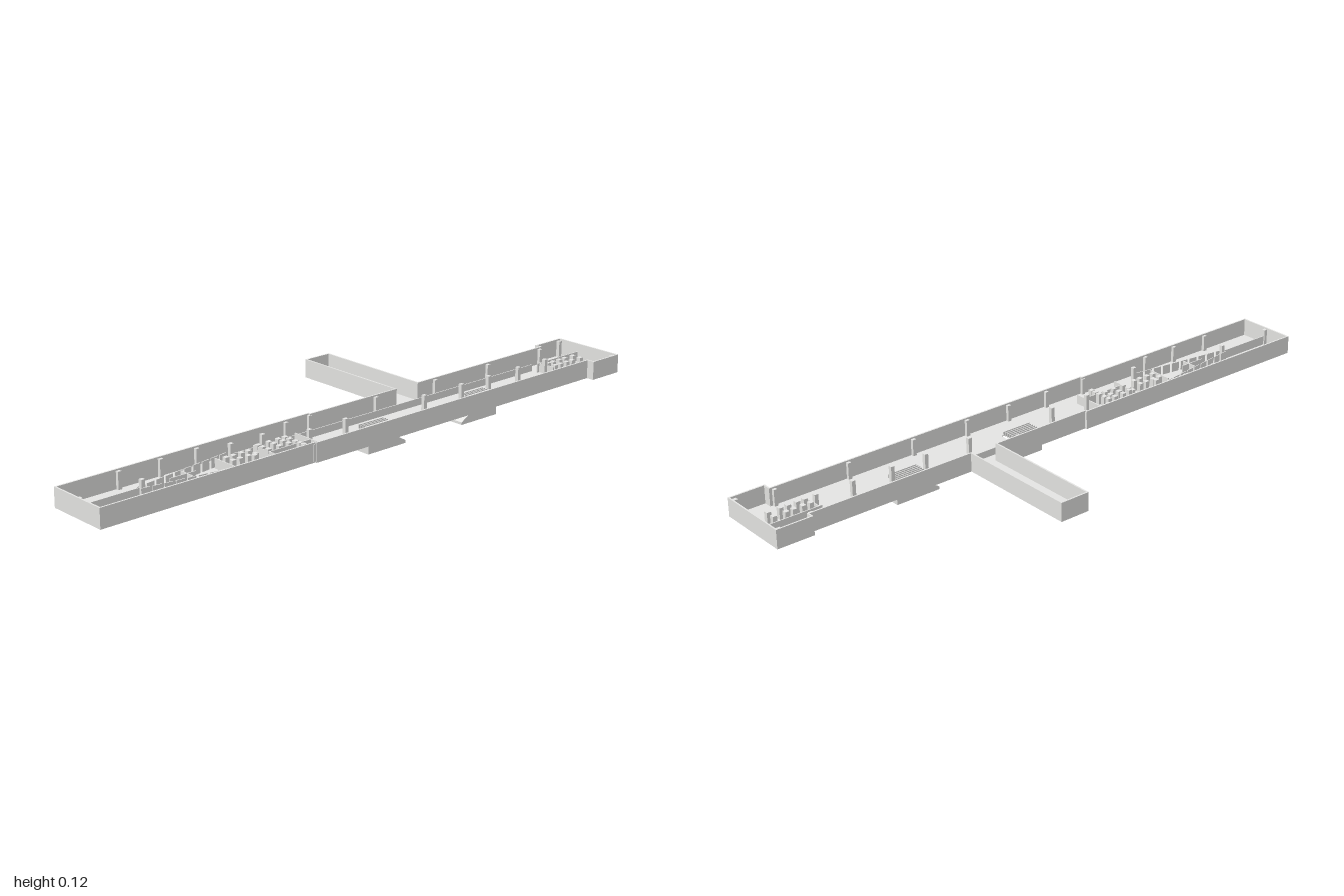
import * as THREE from 'three';

const BASE = 0.062, FLOOR = 0.065, TOP = 0.1215, WALL = 0.005;

// Hall outline as [x, z], including the corridor and the wider end block
const OUTLINE = [
  [-1, 0.082], [-0.115, 0.082], [-0.115, 0.089], [0.225, 0.089],
  [0.225, -0.314], [0.324, -0.314], [0.324, 0.089], [0.88, 0.089],
  [0.88, 0.069], [1, 0.069], [1, 0.314], [0.88, 0.314],
  [0.88, 0.289], [-0.27, 0.289], [-0.27, 0.284], [-1, 0.284],
];

// Moves a right-angled outline inwards by t
function inset(points, t) {
  const n = points.length;
  const normal = (a, b) => [-Math.sign(b[1] - a[1]), Math.sign(b[0] - a[0])];
  return points.map((p, i) => {
    const n1 = normal(points[(i + n - 1) % n], p);
    const n2 = normal(p, points[(i + 1) % n]);
    return [p[0] + t * (n1[0] + n2[0]), p[1] + t * (n1[1] + n2[1])];
  });
}

const toPlan = (points) => points.map(([x, z]) => new THREE.Vector2(x, -z));

// Extrudes a plan upwards from y0 to y1; outline and holes wind opposite ways
function extrudePlan(points, holes, y0, y1) {
  const shape = new THREE.Shape(toPlan(points).reverse());
  holes.forEach((h) => shape.holes.push(new THREE.Path(toPlan(h))));
  const geometry = new THREE.ExtrudeGeometry(shape, { depth: y1 - y0, bevelEnabled: false });
  return geometry.rotateX(-Math.PI / 2).translate(0, y0, 0);
}

const rect = (x0, x1, z0, z1) => [[x0, z0], [x1, z0], [x1, z1], [x0, z1]];

export function createModel() {
  const model = new THREE.Group();
  model.name = 'stationHall';
  const concrete = new THREE.MeshStandardMaterial({ color: 0xe4e4e2 });
  concrete.name = 'pale concrete';

  const add = (name, geometry, parent = model) => {
    const mesh = new THREE.Mesh(geometry, concrete);
    mesh.name = name;
    parent.add(mesh);
    return mesh;
  };
  const group = (name) => {
    const g = new THREE.Group();
    g.name = name;
    model.add(g);
    return g;
  };
  // Box standing on the floor
  const block = (name, x, z, w, d, h, parent) =>
    add(name, new THREE.BoxGeometry(w, h, d).translate(x, FLOOR + h / 2, z), parent);
  // Thin upright panel between two plan points
  const panel = (name, x0, z0, x1, z1, h, parent) => {
    const length = Math.hypot(x1 - x0, z1 - z0);
    const mesh = block(name, 0, 0, length, 0.003, h, parent);
    mesh.position.set((x0 + x1) / 2, 0, (z0 + z1) / 2);
    mesh.rotation.y = -Math.atan2(z1 - z0, x1 - x0);
  };

  // Floor with two stair openings, and the outer walls
  const openings = [rect(0.06, 0.115, 0.162, 0.21), rect(0.427, 0.482, 0.162, 0.21)];
  add('floor', extrudePlan(OUTLINE, openings, BASE, FLOOR));
  add('outerWalls', extrudePlan(OUTLINE, [inset(OUTLINE, WALL)], BASE, TOP));

  // Mirrored stair blocks below the floor
  const stairs = group('stairs');
  const profile = [[0, 0], [0.152, 0], [0.152, 0.008], [0.062, BASE], [0, BASE]];
  for (const side of [1, -1]) {
    const place = (x) => (side === 1 ? x : 0.542 - x);
    const points = profile.map(([x, y]) => new THREE.Vector2(place(x), y));
    add('stairBlock', new THREE.ExtrudeGeometry(new THREE.Shape(points),
      { depth: 0.056, bevelEnabled: false }).translate(0, 0, 0.158), stairs);
    // Handrails between the flights
    for (let i = 0; i < 6; i++) {
      block('handrail', place(0.058), 0.163 + i * 0.0092, 0.1, 0.003, 0.012, stairs);
    }
    for (let i = 0; i < 6; i++) {
      const y = 0.052 - i * 0.0085;
      add('step', new THREE.BoxGeometry(0.014, 0.006, 0.046)
        .translate(place(0.07 + i * 0.0135), y, 0.186), stairs);
    }
  }

  // Columns along both long walls and down the middle
  const columns = group('columns');
  const column = (x, z) => block('column', x, z, 0.012, 0.012, 0.052, columns);
  [-0.8, -0.66, -0.535, -0.21, -0.12, 0.14, 0.39, 0.625, 0.87].forEach((x) =>
    column(x, x < -0.115 ? 0.091 : 0.098));
  [-0.8, -0.66, -0.535, -0.27, -0.12, 0.03, 0.19, 0.39, 0.62, 0.87].forEach((x) =>
    column(x, x < -0.27 ? 0.275 : 0.28));
  [-0.99, -0.79, -0.2, -0.06, 0.26, 0.42, 0.54, 0.675, 0.8].forEach((x) => column(x, 0.181));
  [[-0.44, 0.123], [-0.325, 0.123], [-0.45, 0.238], [0.985, 0.08], [0.985, 0.3]]
    .forEach(([x, z]) => column(x, z));

  // Long partitions
  const partitions = group('partitions');
  panel('centrePartition', -0.995, 0.181, -0.8, 0.181, 0.03, partitions);
  panel('sidePartition', -0.44, 0.128, 0.8, 0.128, 0.022, partitions);
  panel('endPartition', 0.8, 0.15, 0.995, 0.15, 0.03, partitions);
  panel('endReturn', 0.81, 0.15, 0.81, 0.21, 0.03, partitions);
  panel('crossPartition', -0.365, 0.13, -0.365, 0.235, 0.03, partitions);
  panel('crossPartition', -0.21, 0.13, -0.21, 0.235, 0.03, partitions);
  panel('roomPartition', -0.365, 0.2, -0.21, 0.2, 0.03, partitions);

  // Segmented screens spreading from the centre line
  for (const side of [1, -1]) {
    for (let i = 0; i < 10; i++) {
      const x = -0.8 + i * 0.035;
      const z = (t) => 0.181 + side * (0.008 + (t + 0.8) * 0.14);
      panel('screen', x, z(x), x + 0.027, z(x + 0.027), 0.03, partitions);
    }
  }
  panel('screenCross', -0.64, 0.155, -0.64, 0.207, 0.03, partitions);
  panel('screenCross', -0.51, 0.14, -0.51, 0.222, 0.03, partitions);
  panel('screenRail', -0.7, 0.181, -0.61, 0.181, 0.03, partitions);

  // Rows of small booths and gates
  const booths = group('booths');
  const rows = (xs, zs) => xs.forEach((x) => zs.forEach((z) =>
    block('booth', x, z, 0.014, 0.014, 0.035, booths)));
  rows([-0.49, -0.465, -0.435, -0.41], [0.163, 0.193]);
  rows([-0.36, -0.32, -0.285, -0.26], [0.145, 0.165, 0.19]);
  rows([-0.26], [0.208, 0.225]);
  rows([0.82, 0.845, 0.875, 0.9, 0.94], [0.177, 0.207]);

  return model;
}
